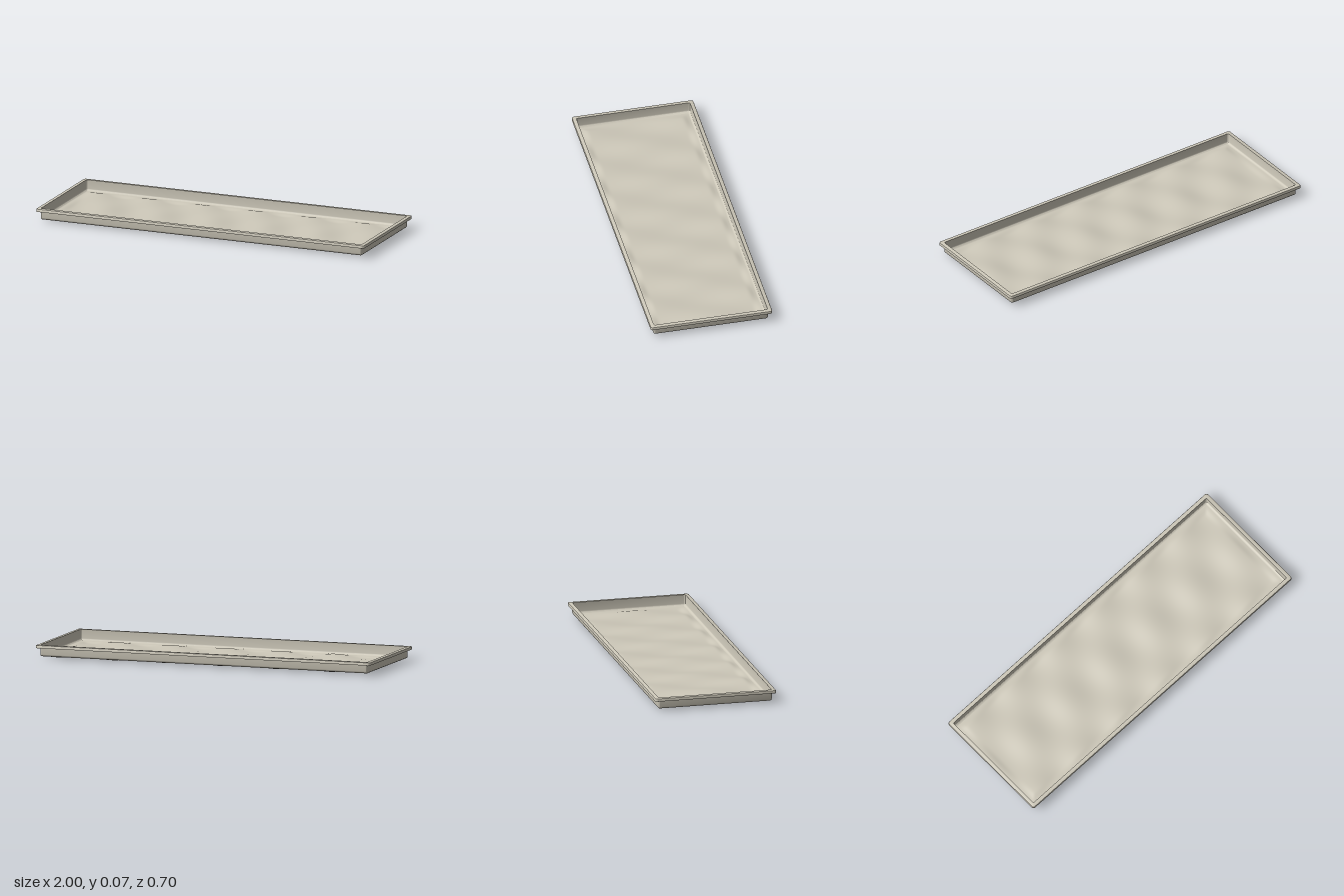
import * as THREE from 'three';
import { toCreasedNormals } from 'three/addons/utils/BufferGeometryUtils.js';

const HX = 1, HZ = 0.35;          // half size over the rim
const SHEET = 0.003;              // sheet thickness
const FLOOR_INSET = 0.036, FLOOR_Y = 0.009;

// One rounded rectangle loop: inset from the rim, height, corner radius
function loop(inset, y, r) {
  const pts = [], steps = 6;
  const cx = HX - inset - r, cz = HZ - inset - r;
  [[1, 1], [-1, 1], [-1, -1], [1, -1]].forEach(([sx, sz], q) => {
    for (let i = 0; i <= steps; i++) {
      const a = (q + i / steps) * Math.PI / 2;
      pts.push([sx * cx + r * Math.cos(a), y, sz * cz + r * Math.sin(a)]);
    }
  });
  return pts;
}

// Skin the profile's loops together
function sweepRect(profile) {
  const loops = profile.map(p => loop(...p));
  const n = loops[0].length;
  const index = [];
  for (let j = 0; j < loops.length - 1; j++) {
    for (let i = 0; i < n; i++) {
      const k = (i + 1) % n;
      const a = j * n + i, b = j * n + k, c = (j + 1) * n + k, d = (j + 1) * n + i;
      index.push(a, b, c, a, c, d);
    }
  }
  const g = new THREE.BufferGeometry();
  g.setAttribute('position', new THREE.Float32BufferAttribute(loops.flat(2), 3));
  g.setIndex(index);
  return toCreasedNormals(g, 0.65);
}

// Alternating shallow humps and hollows that fade out at the walls
function wave(x, z) {
  const edge = Math.min(HX - FLOOR_INSET - Math.abs(x), HZ - FLOOR_INSET - Math.abs(z));
  const fade = THREE.MathUtils.smoothstep(edge, 0, 0.045);
  return -0.009 * fade * Math.sin(2 * Math.PI * x / 0.65 * 2) * Math.cos(2 * Math.PI * z / 0.62);
}

function floorSheet(y, faceUp) {
  const g = new THREE.PlaneGeometry(2 * (HX - FLOOR_INSET), 2 * (HZ - FLOOR_INSET), 180, 64);
  g.rotateX(faceUp ? -Math.PI / 2 : Math.PI / 2);
  const p = g.attributes.position;
  for (let i = 0; i < p.count; i++) p.setY(i, y + wave(p.getX(i), p.getZ(i)));
  g.computeVertexNormals();
  return g;
}

export function createModel() {
  const model = new THREE.Group();
  model.name = 'tray';
  const stone = new THREE.MeshStandardMaterial({ color: 0xcdc8b9 });
  stone.name = 'warm grey';

  const add = (name, geometry) => {
    const mesh = new THREE.Mesh(geometry, stone);
    mesh.name = name;
    model.add(mesh);
  };

  // Walls: inside face, flat rim, turned-down lip, then back down the outside
  add('wallsAndRim', sweepRect([
    [FLOOR_INSET, FLOOR_Y + SHEET, 0.001],
    [0.029, 0.0135, 0.003],
    [0.0245, 0.018, 0.006],
    [0.023, 0.024, 0.008],
    [0.023, 0.075, 0.008],
    [0.005, 0.075, 0.010],
    [0.0015, 0.0735, 0.012],
    [0, 0.07, 0.013],
    [0, 0.058, 0.013],
    [SHEET, 0.058, 0.010],
    [SHEET, 0.072, 0.010],
    [0.02, 0.072, 0.011],
    [0.02, 0.021, 0.011],
    [0.0215, 0.015, 0.010],
    [0.026, 0.0105, 0.006],
    [FLOOR_INSET, FLOOR_Y, 0.001],
  ]));

  // Rippled floor, both faces
  add('floorTop', floorSheet(FLOOR_Y + SHEET, true));
  add('floorUnderside', floorSheet(FLOOR_Y, false));
  return model;
}
